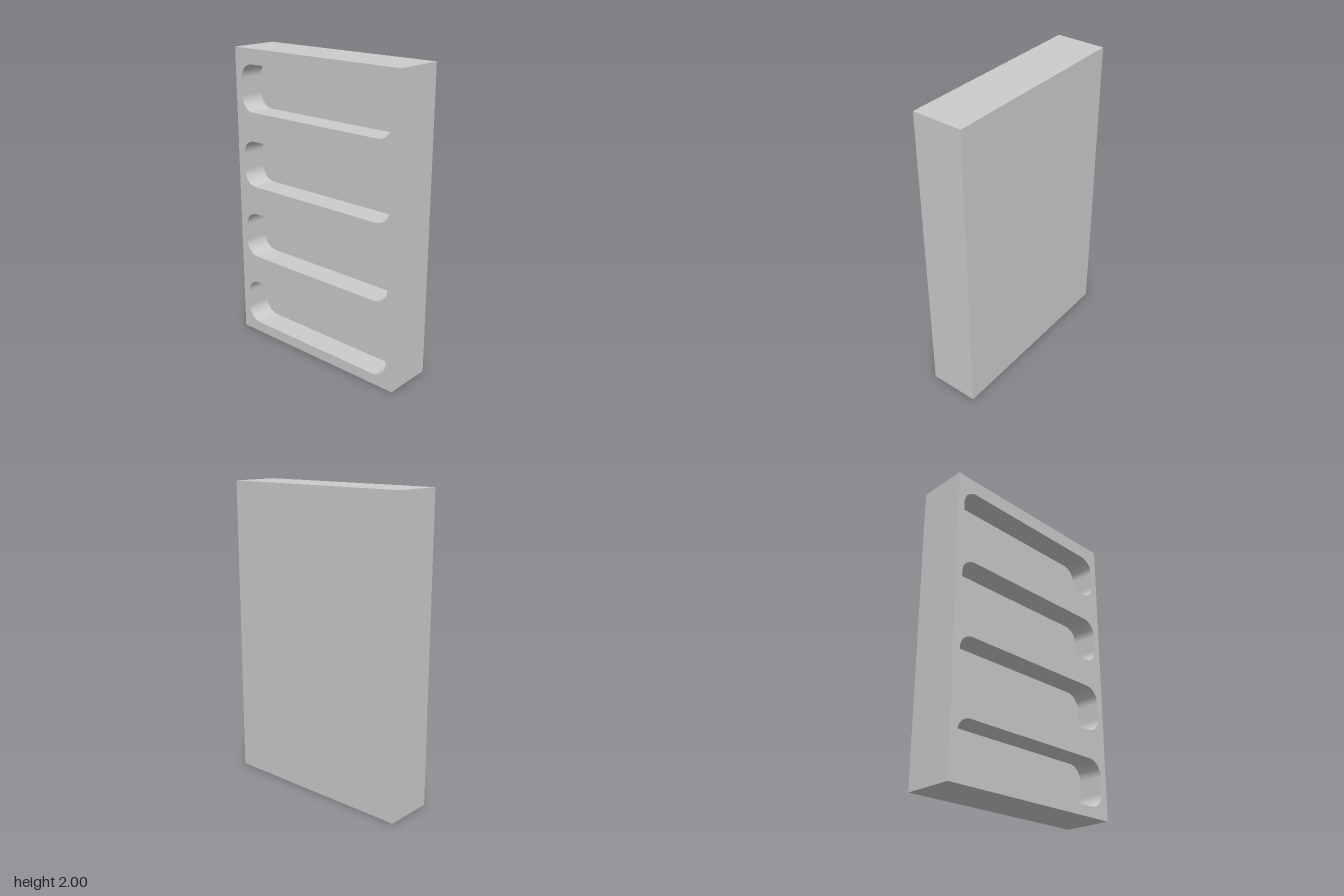
import * as THREE from 'three';

const W = 1.333, H = 2, D = 0.333;
const POCKET = { w: 1.23, h: 0.312, r: 0.1, depth: 0.17 };
const SEGMENTS = 12;

// Counter-clockwise rounded rectangle centred on x = 0
function roundedRect(target, cy, { w, h, r }) {
  const x = w / 2 - r, y = h / 2 - r, q = Math.PI / 2;
  target.absarc(x, cy - y, r, -q, 0, false);
  target.absarc(x, cy + y, r, 0, q, false);
  target.absarc(-x, cy + y, r, q, 2 * q, false);
  target.absarc(-x, cy - y, r, 2 * q, 3 * q, false);
  return target;
}

// Inward-facing wall that follows a closed outline from z0 (back) to z1 (front)
function innerWall(points, z0, z1) {
  const position = [], index = [], n = points.length;
  points.forEach((p, i) => {
    position.push(p.x, p.y, z0, p.x, p.y, z1);
    const a = 2 * i, b = 2 * ((i + 1) % n);
    index.push(a, a + 1, b, b, a + 1, b + 1);
  });
  const geometry = new THREE.BufferGeometry();
  geometry.setAttribute('position', new THREE.Float32BufferAttribute(position, 3));
  geometry.setIndex(index);
  geometry.computeVertexNormals();
  return geometry;
}

export function createModel() {
  const model = new THREE.Group();
  model.name = 'pocketedPanel';
  const material = new THREE.MeshStandardMaterial({ color: 0xcccccc });
  const add = (parent, name, geometry) => {
    const mesh = new THREE.Mesh(geometry, material);
    mesh.name = name;
    parent.add(mesh);
    return mesh;
  };

  // Outer shell: a box without its front (+z) face
  const shell = new THREE.BoxGeometry(W, H, D).translate(0, H / 2, 0);
  const faces = Array.from(shell.index.array);
  faces.splice(24, 6);
  shell.setIndex(faces);
  shell.clearGroups();
  add(model, 'outerShell', shell);

  // Front face, cut by the four pockets
  const front = new THREE.Shape([
    new THREE.Vector2(-W / 2, 0), new THREE.Vector2(W / 2, 0),
    new THREE.Vector2(W / 2, H), new THREE.Vector2(-W / 2, H),
  ]);

  for (let i = 0; i < 4; i++) {
    const cy = 0.227 + i * 0.506;
    front.holes.push(roundedRect(new THREE.Path(), cy, POCKET));

    // Recessed pocket: wall and flat bottom
    const pocket = new THREE.Group();
    pocket.name = `pocket${i + 1}`;
    const outline = roundedRect(new THREE.Shape(), cy, POCKET);
    const zBack = D / 2 - POCKET.depth;
    add(pocket, 'pocketWall', innerWall(outline.getPoints(SEGMENTS), zBack, D / 2));
    add(pocket, 'pocketBack', new THREE.ShapeGeometry(outline, SEGMENTS).translate(0, 0, zBack));
    model.add(pocket);
  }
  add(model, 'frontFace', new THREE.ShapeGeometry(front, SEGMENTS).translate(0, 0, D / 2));

  return model;
}
